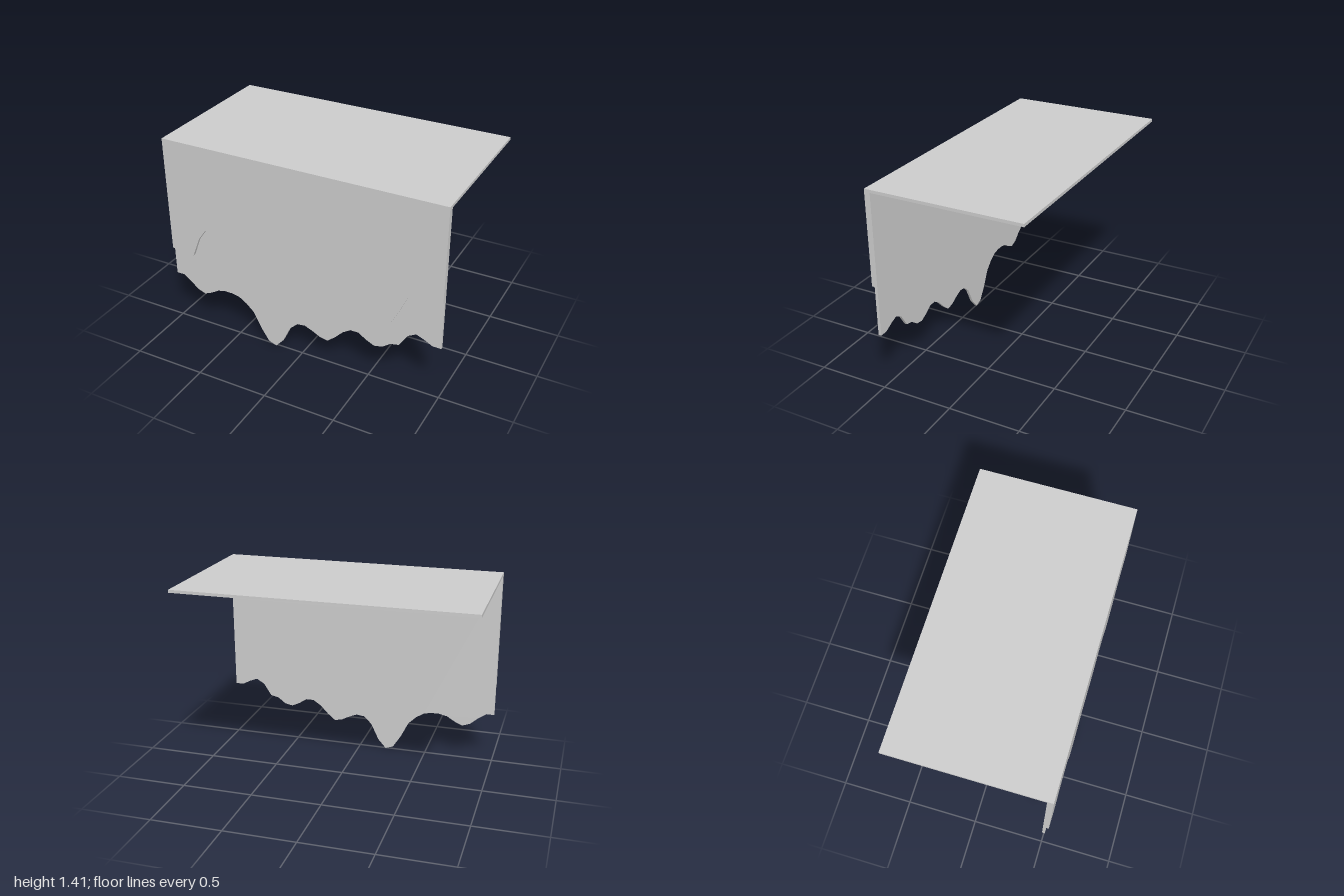
import * as THREE from 'three';

const material = new THREE.MeshStandardMaterial({ color: 0xcccccc, flatShading: true, side: THREE.DoubleSide });
const TOP = 1.39, THICK = 0.02, HALF_DEPTH = 0.533;

// heights of the wavy lower edges, evenly spaced from x = -1 to x = 1
const outerHem = [
  0.58, 0.58, 0.55, 0.565, 0.71, 0.79, 0.79, 0.79, 0.71, 0.515, 0.42, 0.405,
  0.415, 0.47, 0.53, 0.553, 0.553, 0.553, 0.553, 0.53, 0.543, 0.62, 0.67, 0.67,
  0.67, 0.62, 0.52, 0.45, 0.45, 0.49, 0.60, 0.72, 0.78, 0.79, 0.75, 0.75,
];
const innerHem = [
  0.365, 0.365, 0.325, 0.275, 0.255, 0.28, 0.315, 0.328, 0.328, 0.317, 0.28, 0.225,
  0.11, 0.02, 0, 0.065, 0.185, 0.24, 0.248, 0.225, 0.195, 0.182, 0.23, 0.29,
  0.328, 0.328, 0.29, 0.263, 0.275, 0.318, 0.33, 0.42, 0.453, 0.43, 0.40, 0.40,
];

// a hanging sheet: straight top, wavy bottom, extruded towards the front
function hangingSheet(name, hem, backZ) {
  const shape = new THREE.Shape();
  shape.moveTo(-1, TOP);
  hem.forEach((y, i) => shape.lineTo(-1 + (2 * i) / (hem.length - 1), y));
  shape.lineTo(1, TOP);
  shape.closePath();
  const geometry = new THREE.ExtrudeGeometry(shape, { depth: THICK, bevelEnabled: false });
  const mesh = new THREE.Mesh(geometry, material);
  mesh.name = name;
  mesh.position.z = backZ;
  return mesh;
}

export function createModel() {
  const group = new THREE.Group();
  group.name = 'layeredOverhang';

  // flat top slab
  const slab = new THREE.Mesh(new THREE.BoxGeometry(2, THICK, 2 * HALF_DEPTH), material);
  slab.name = 'topSlab';
  slab.position.y = TOP + THICK / 2;
  group.add(slab);

  // two layered sheets hanging from the front edge
  group.add(hangingSheet('outerSheet', outerHem, HALF_DEPTH - THICK));
  group.add(hangingSheet('innerSheet', innerHem, HALF_DEPTH - 2 * THICK));
  return group;
}
